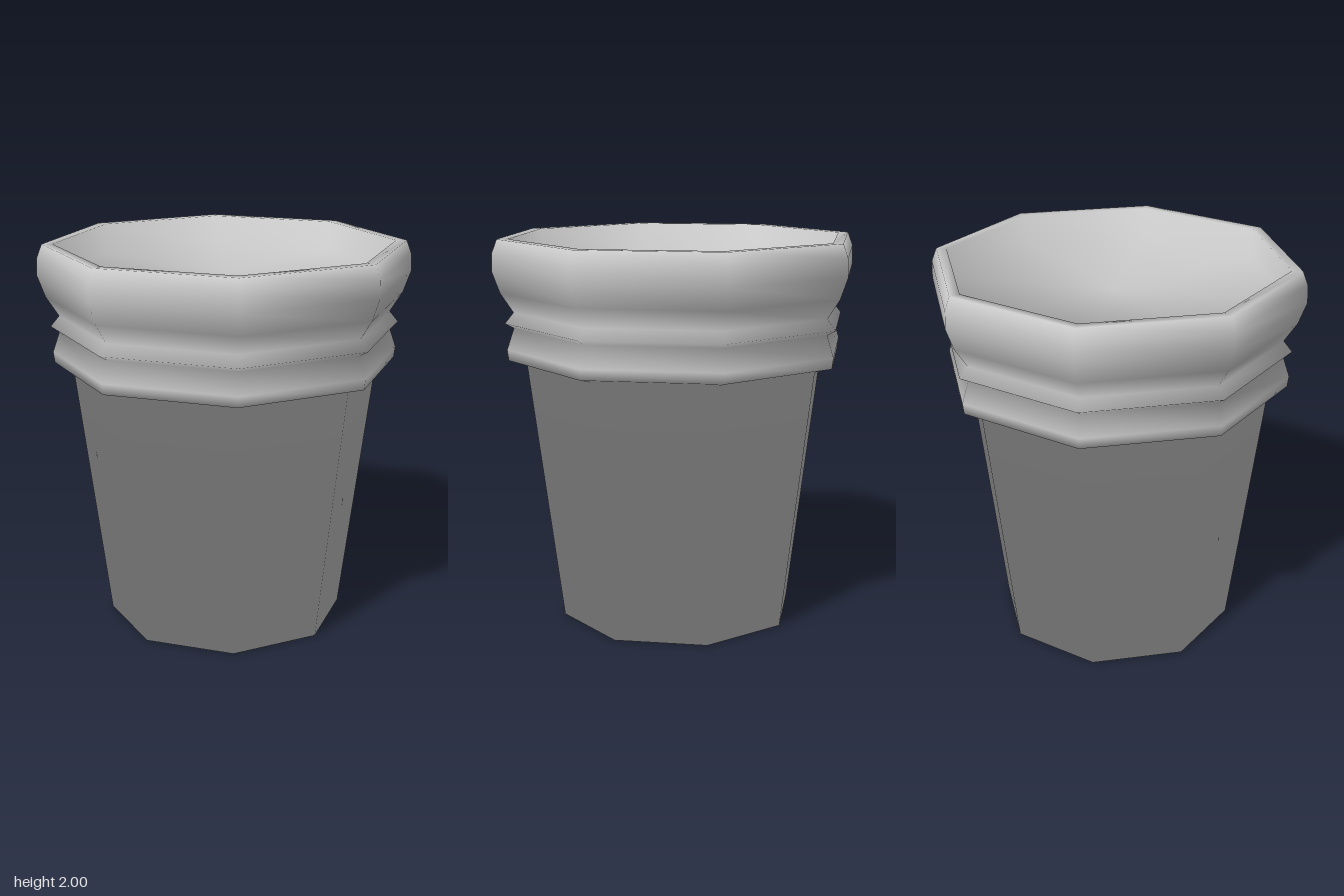
import * as THREE from 'three';

const SIDES = 8;

// Eight-sided turned surface, with normals smoothed along the profile;
// the flat end discs weigh a little less than the walls
function turned(name, profile, material) {
  const points = profile.map(([r, y]) => new THREE.Vector2(r, y));
  const slopes = points.slice(1).map((p, i) => {
    const d = p.clone().sub(points[i]).normalize();
    const isDisc = p.x === 0 || points[i].x === 0;
    return new THREE.Vector2(d.y, -d.x).multiplyScalar(isDisc ? 0.8 : 1);
  });
  const geometry = new THREE.LatheGeometry(points, SIDES);
  const normal = geometry.attributes.normal;
  for (let s = 0; s <= SIDES; s++) {
    const a = (s / SIDES) * Math.PI * 2;
    points.forEach((p, j) => {
      const n = new THREE.Vector2();
      if (p.x === 0) {
        n.set(0, Math.sign((slopes[j] ?? slopes[j - 1]).y));
      } else {
        n.addVectors(slopes[j - 1], slopes[j]).normalize();
      }
      normal.setXYZ(s * points.length + j, n.x * Math.sin(a), n.y, n.x * Math.cos(a));
    });
  }
  const mesh = new THREE.Mesh(geometry, material);
  mesh.name = name;
  return mesh;
}

export function createModel() {
  const group = new THREE.Group();
  group.name = 'flowerPot';
  const clay = new THREE.MeshStandardMaterial({ color: 0xc8c8c8 });
  clay.name = 'pale grey clay';

  group.add(turned('pot', [
    // base and tapered wall
    [0, 0], [0.62, 0], [0.792, 1.36],
    // moulded collar
    [0.885, 1.385], [0.892, 1.44], [0.855, 1.55], [0.9, 1.575], [0.855, 1.63],
    // rolled lip
    [0.92, 1.73], [0.96, 1.84], [0.957, 1.93], [0.93, 2], [0.875, 2],
    // recess filling the top
    [0.875, 1.84], [0, 1.84],
  ], clay));

  return group;
}
